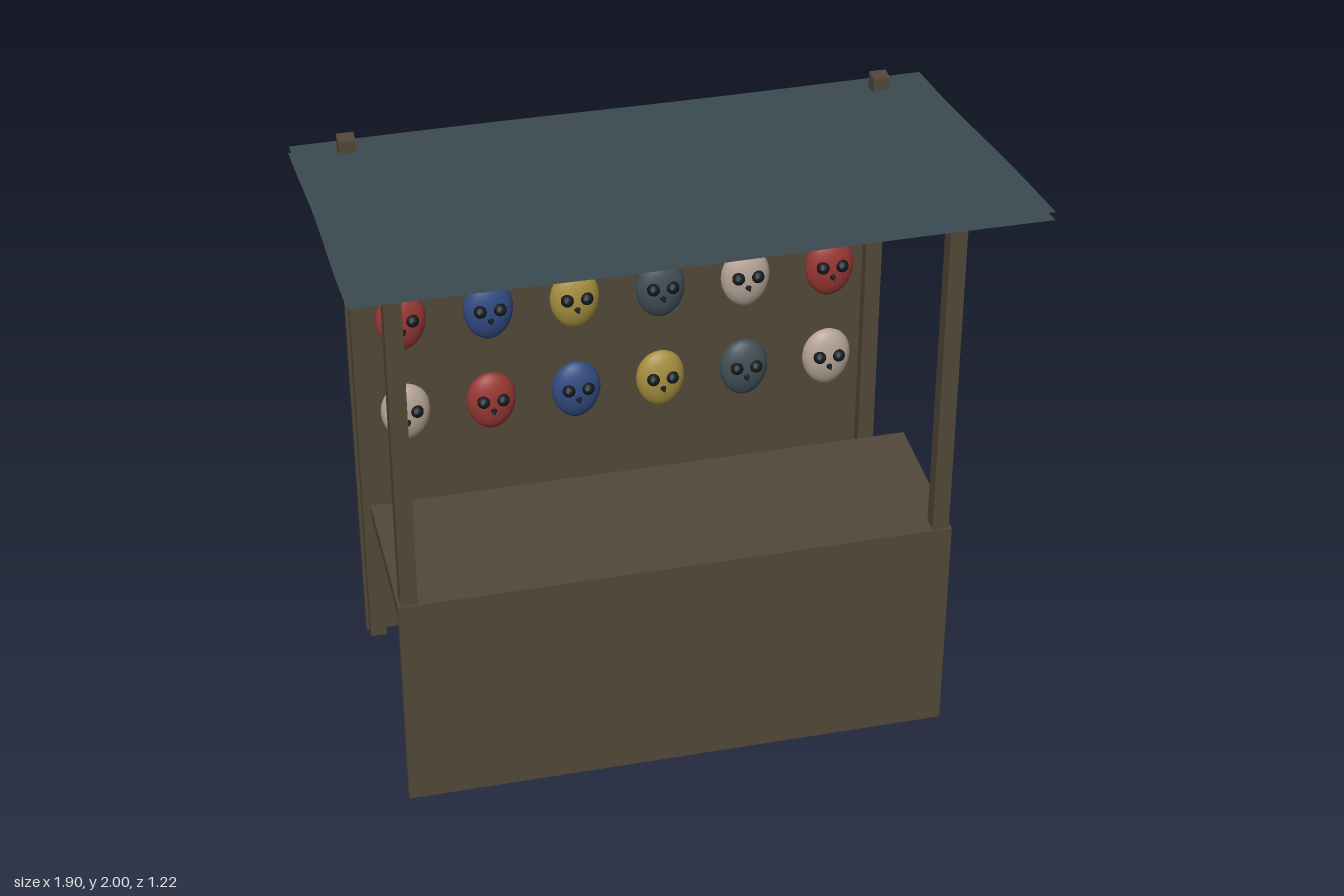
import * as THREE from 'three';

const mat = (name, color, side = THREE.FrontSide) => {
  const m = new THREE.MeshStandardMaterial({ color, side });
  m.name = name;
  return m;
};

export function createModel() {
  const stall = new THREE.Group();
  stall.name = 'maskStall';

  const wood = mat('brown wood', 0x53483a);
  const slate = mat('slate', 0x3f4f56, THREE.DoubleSide);
  const dark = mat('near black', 0x15191d);
  const blue = mat('blue', 0x304a80);
  const yellow = mat('yellow', 0xa38d3f);
  const beige = mat('beige', 0xb3a294);
  const red = mat('red', 0x983733);

  const add = (parent, name, geometry, material, x = 0, y = 0, z = 0) => {
    const mesh = new THREE.Mesh(geometry, material);
    mesh.name = name;
    mesh.position.set(x, y, z);
    parent.add(mesh);
    return mesh;
  };
  // Box given by its lower and upper limits
  const plank = (name, [x0, x1], [y0, y1], [z0, z1]) =>
    add(stall, name, new THREE.BoxGeometry(x1 - x0, y1 - y0, z1 - z0), wood,
      (x0 + x1) / 2, (y0 + y1) / 2, (z0 + z1) / 2);

  // Wooden frame
  const wide = [-0.825, 0.825];
  plank('backBoard', wide, [0, 1.655], [-0.546, -0.523]);
  plank('frontPanel', wide, [0, 0.685], [0.268, 0.291]);
  plank('counter', wide, [0.685, 0.73], [-0.205, 0.291]);
  for (const [side, s] of [['left', 1], ['right', -1]]) {
    const span = s > 0 ? [0.767, 0.817] : [-0.817, -0.767];
    plank(side + 'FrontPost', span, [0.005, 1.82], [0.236, 0.286]);
    plank(side + 'BackPost', span, [0.005, 1.82], [-0.533, -0.483]);
  }

  // Canopy: two thin sloping cloth sheets with slightly uneven edges
  const sheet = (name, frontY, phase) => {
    const g = new THREE.PlaneGeometry(1.894, 1.212, 16, 10).rotateX(-Math.PI / 2);
    const p = g.attributes.position;
    for (let i = 0; i < p.count; i++) {
      const x = p.getX(i), z = p.getZ(i);
      p.setXYZ(i,
        x + 0.003 * Math.sin(z * 6 + phase),
        frontY + (z - 0.606) * 0.202 + 0.002 * Math.sin(x * 5 + phase) * Math.cos(z * 3),
        z + 0.002 * Math.sin(x * 4 + phase));
    }
    g.computeVertexNormals();
    add(stall, name, g, slate);
  };
  sheet('upperCanopy', 1.998, 0.4);
  sheet('lowerCanopy', 1.974, 2.1);

  // Mask shell: half egg, narrower toward the chin
  const shell = new THREE.SphereGeometry(1, 28, 20, 0, Math.PI);
  const sp = shell.attributes.position;
  for (let i = 0; i < sp.count; i++) {
    const y = sp.getY(i);
    sp.setXYZ(i, sp.getX(i) * 0.076 * (1 + 0.06 * y), y * 0.1, sp.getZ(i) * 0.045);
  }
  shell.computeVertexNormals();
  const eye = new THREE.SphereGeometry(0.02, 14, 10);
  const glint = new THREE.SphereGeometry(0.006, 8, 6);
  const nose = new THREE.ConeGeometry(0.011, 0.03, 10).rotateX(Math.PI / 2);

  // Three rows of hanging masks
  const colours = [blue, yellow, slate, beige, red];
  for (let row = 0; row < 3; row++) {
    for (let col = 0; col < 6; col++) {
      const mask = new THREE.Group();
      mask.name = `mask${row + 1}_${col + 1}`;
      mask.position.set((col - 2.5) * 0.265, 1.49 - row * 0.33, -0.523);
      add(mask, 'face', shell, colours[(col - row + 5) % 5]);
      for (const s of [-1, 1]) {
        add(mask, 'eye', eye, dark, s * 0.03, 0.021, 0.04);
        add(mask, 'eyeGlint', glint, slate, s * 0.03 - 0.006, 0.027, 0.055);
      }
      add(mask, 'nose', nose, dark, 0, -0.012, 0.055);
      stall.add(mask);
    }
  }
  return stall;
}
